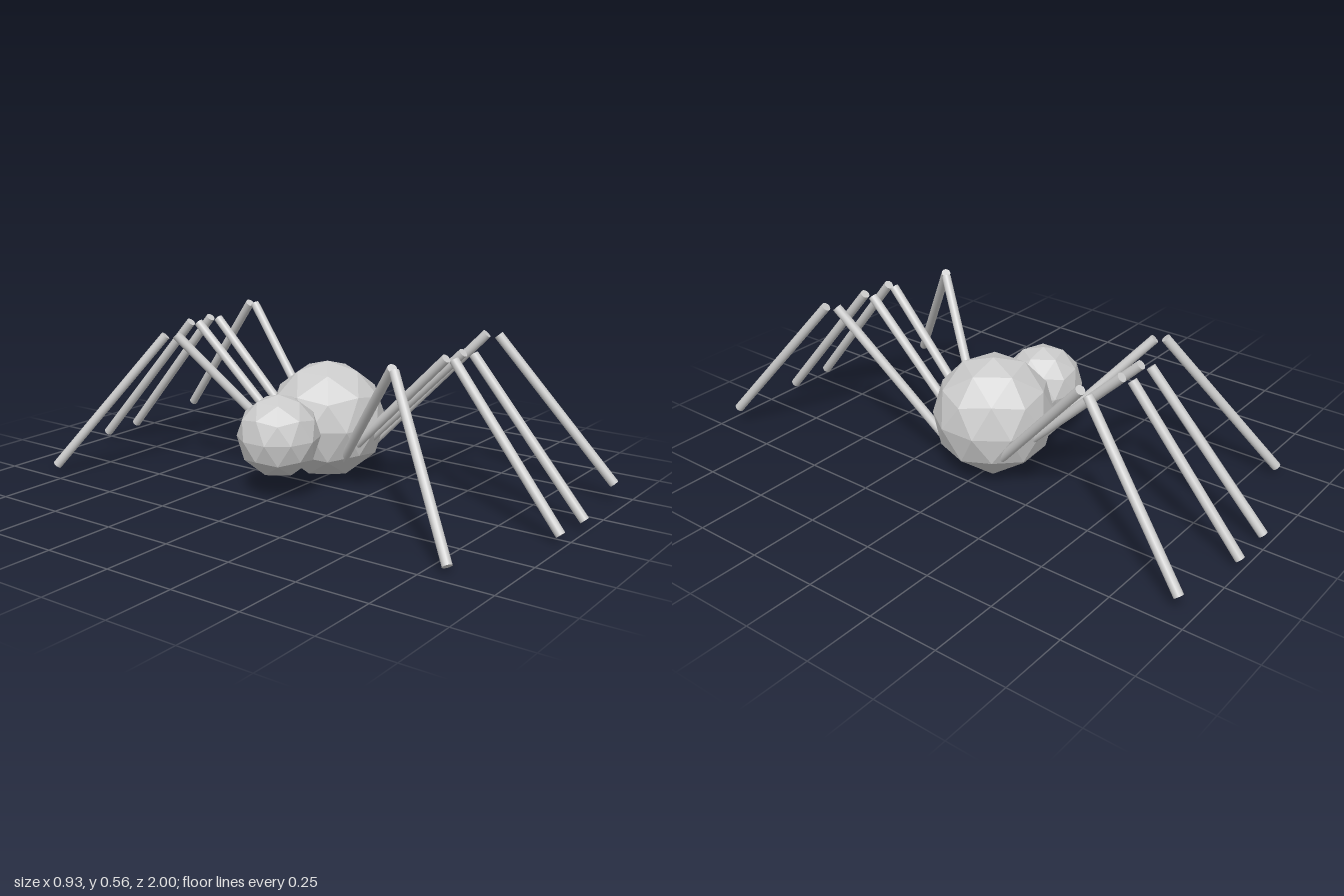
import * as THREE from 'three';

const smooth = new THREE.MeshStandardMaterial({ color: 0xcccccc });
const faceted = new THREE.MeshStandardMaterial({ color: 0xcccccc, flatShading: true });

// Low-poly ball with a vertex at the top and bottom
function ball(name, radius, x, y, z) {
  const geo = new THREE.IcosahedronGeometry(radius, 1);
  geo.rotateZ(-Math.atan(2 / (1 + Math.sqrt(5))));
  const mesh = new THREE.Mesh(geo, faceted);
  mesh.name = name;
  mesh.position.set(x, y, z);
  return mesh;
}

// Straight rod between two points
function rod(name, from, to) {
  const dir = to.clone().sub(from);
  const mesh = new THREE.Mesh(new THREE.CylinderGeometry(0.0165, 0.0165, dir.length(), 16), smooth);
  mesh.name = name;
  mesh.position.copy(from).addScaledVector(dir, 0.5);
  mesh.quaternion.setFromUnitVectors(new THREE.Vector3(0, 1, 0), dir.normalize());
  return mesh;
}

// Each leg: hip, end of upper segment, start of lower segment, foot
const LEGS = [
  [[0.03, 0.105, 0.125], [-0.187, 0.513, 0.455], [-0.215, 0.512, 0.48], [-0.45, 0.027, 0.82]],
  [[0.053, 0.12, 0.125], [0.018, 0.518, 0.53], [0.012, 0.518, 0.562], [-0.035, 0.031, 0.98]],
  [[0.128, 0.12, 0.125], [0.13, 0.518, 0.53], [0.13, 0.518, 0.568], [0.13, 0.031, 0.986]],
  [[0.222, 0.12, 0.12], [0.328, 0.548, 0.51], [0.343, 0.546, 0.547], [0.445, 0.063, 0.952]],
];

export function createModel() {
  const model = new THREE.Group();
  model.name = 'spider';

  model.add(ball('body', 0.212, 0.11, 0.213, -0.005));
  model.add(ball('head', 0.144, -0.175, 0.214, -0.005));

  // Four two-part legs, mirrored front to back
  for (const side of [1, -1]) {
    LEGS.forEach((points, i) => {
      const [hip, kneeIn, kneeOut, foot] = points.map(([x, y, z]) => new THREE.Vector3(x, y, z * side));
      const leg = new THREE.Group();
      leg.name = `${side > 0 ? 'front' : 'back'}Leg${i + 1}`;
      leg.add(rod('upperLeg', hip, kneeIn), rod('lowerLeg', kneeOut, foot));
      model.add(leg);
    });
  }
  return model;
}
